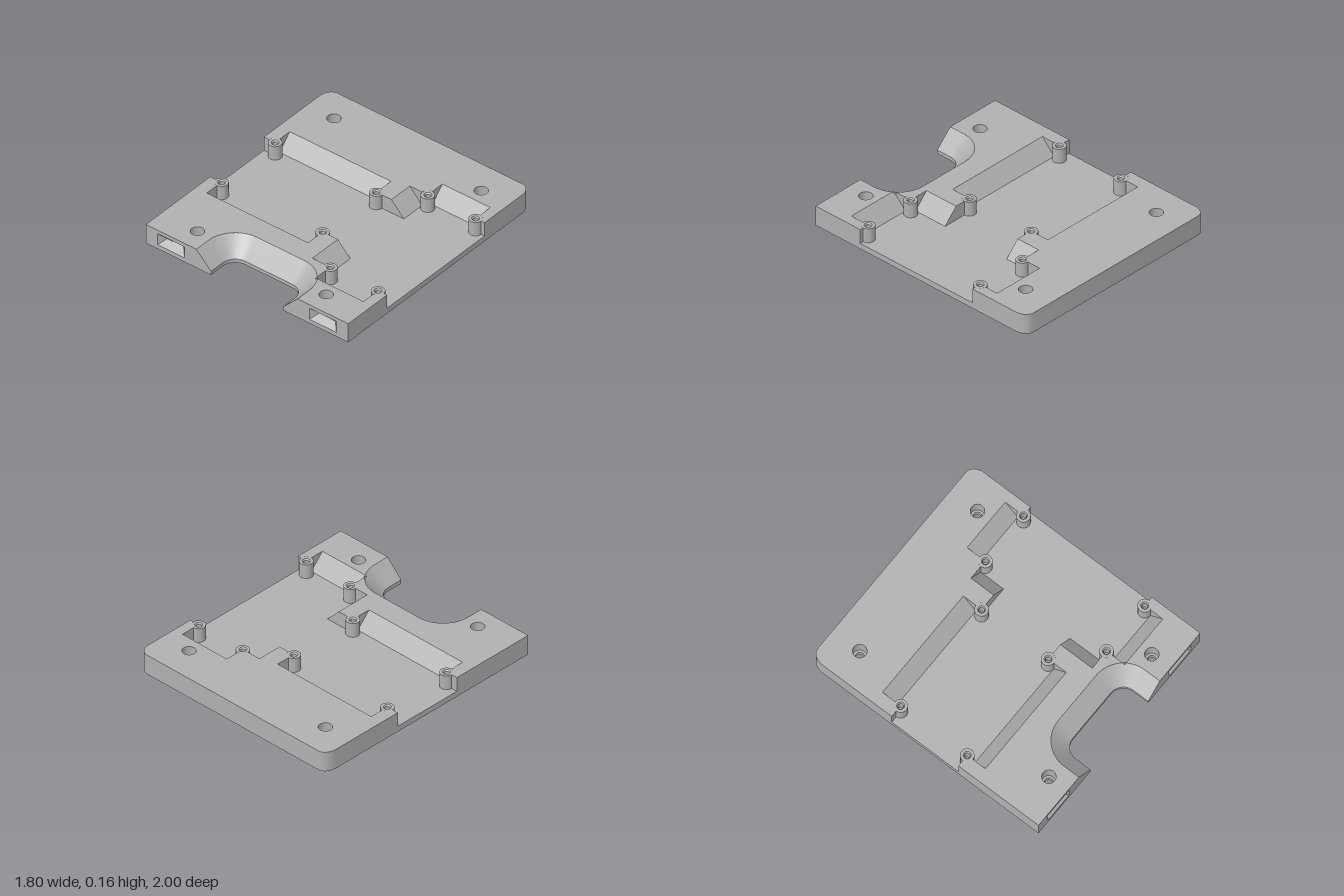
import * as THREE from 'three';
import { toCreasedNormals } from 'three/addons/utils/BufferGeometryUtils.js';

const TOP = 0.16, FLOOR = 0.045, LIP = 0.03, PI = Math.PI;
const STRIP = 0.9;                    // z where the front strip begins
const CX = 0.21, CZ = 0.87;           // centre of the cut-out corner arcs
const R_LOW = 0.11, R_HIGH = 0.24;    // cut-out corner radii, bottom and top
const BOSS = 0.05;
const SCREWS = [[-0.66, -0.76], [0.65, -0.76], [-0.575, 0.835], [0.57, 0.835]];

export function createModel() {
  const model = new THREE.Group();
  model.name = 'mountingPlate';
  const grey = new THREE.MeshStandardMaterial({ color: 0xb0b0b0 });
  grey.name = 'grey';
  const greyOpen = grey;
  greyOpen.side = THREE.DoubleSide;

  const add = (name, geo) => {
    const mesh = new THREE.Mesh(geo, grey);
    mesh.name = name;
    model.add(mesh);
    return mesh;
  };

  // Extrude a plan drawn in (x, z) between two heights
  const slab = (name, shape, y0, y1) => {
    const geo = new THREE.ExtrudeGeometry(shape, { depth: y1 - y0, bevelEnabled: false, curveSegments: 14 });
    geo.rotateX(PI / 2).translate(0, y1, 0);
    return add(name, toCreasedNormals(geo, 0.5));
  };
  const drill = (shape, r, test) => SCREWS.filter(test).forEach(([x, z]) => {
    shape.holes.push(new THREE.Path().absarc(x, z, r, 0, 2 * PI, true));
  });

  // Front edge with the U-shaped cut-out, running from +x to -x
  const frontEdge = (s, r) => {
    s.lineTo(0.9, STRIP);
    s.lineTo(CX + r, STRIP);
    s.lineTo(CX + r, CZ);
    s.absarc(CX, CZ, r, 0, -PI / 2, true);
    s.lineTo(-CX, CZ - r);
    s.absarc(-CX, CZ, r, -PI / 2, -PI, true);
    s.lineTo(-CX - r, STRIP);
    s.lineTo(-0.9, STRIP);
  };
  // Rounded back edge, from (-0.9, -0.9) to (0.9, -0.9)
  const backEdge = (s, dir) => {
    s.lineTo(-0.9 * dir, -0.91);
    s.quadraticCurveTo(-0.89 * dir, -0.99, -0.83 * dir, -1);
    s.lineTo(0.83 * dir, -1);
    s.quadraticCurveTo(0.89 * dir, -0.99, 0.9 * dir, -0.91);
  };

  // Base plate in two layers, the upper one set back under the chamfer
  [['basePlate', R_LOW, 0, LIP], ['channelFloor', R_HIGH, LIP, FLOOR]].forEach(([name, r, y0, y1]) => {
    const s = new THREE.Shape();
    s.moveTo(-0.9, STRIP);
    backEdge(s, 1);
    frontEdge(s, r);
    drill(s, 0.033, () => true);
    slab(name, s, y0, y1);
  });

  // Stepped inner edge of a raised block; dir is the side in z,
  // a and b the z distances of its wide and narrow parts
  const innerEdge = (s, dir, a, b, front) => {
    const mid = dir < 0 ? 1.5 * PI : 0.5 * PI, end = dir < 0 ? 2 * PI : 0;
    const notch = (x0, x1, e, clipped) => {
      s.lineTo(x0 - BOSS, dir * e);
      s.absarc(x0, dir * e, BOSS, PI, mid, dir > 0);
      if (clipped) {
        s.lineTo(x0, dir * (e + 0.14));
        s.lineTo(x0 + 0.017, dir * (e + 0.16));
      } else s.lineTo(x0, dir * (e + 0.16));
      s.lineTo(x1, dir * (e + 0.16));
      s.lineTo(x1, dir * (e + BOSS));
      s.absarc(x1, dir * e, BOSS, mid, end, dir > 0);
    };
    s.moveTo(-0.9, dir * a);
    notch(-0.8, 0.1, a, false);
    s.lineTo(0.235, dir * a);
    s.lineTo(0.235, dir * b);
    notch(0.395, 0.82, b, front);
    s.lineTo(0.9, dir * b);
  };

  // Triangular ramp that falls along x, extruded along z
  const wedge = (run, length) => {
    const s = new THREE.Shape();
    s.moveTo(0, 0);
    s.lineTo(run, 0);
    s.lineTo(0, TOP - FLOOR);
    return new THREE.ExtrudeGeometry(s, { depth: length, bevelEnabled: false });
  };
  // Screw boss with a countersunk blind hole
  const bossProfile = [[0.05, 0], [0.05, TOP - FLOOR], [0.028, TOP - FLOOR], [0.02, 0.105], [0.02, 0.03], [0, 0.03]]
    .map(([x, y]) => new THREE.Vector2(x, y));
  const bossGeo = toCreasedNormals(new THREE.LatheGeometry(bossProfile, 28), 0.5);

  [['back', -1, 0.29, 0.49], ['front', 1, 0.295, 0.575]].forEach(([side, dir, a, b]) => {
    const s = new THREE.Shape();
    innerEdge(s, dir, a, b, dir > 0);
    if (dir > 0) frontEdge(s, R_HIGH);
    else backEdge(s, -1);
    drill(s, 0.05, ([, z]) => z * dir > 0);
    slab(side + 'Block', s, FLOOR, TOP);

    // Ramps between the bosses, facing the channel
    [[-0.8, 0.1, a], [0.395, 0.82, b]].forEach(([x0, x1, e]) => {
      const ramp = add(side + 'Ramp', wedge(0.11, x1 - x0));
      ramp.rotation.y = dir * PI / 2;
      ramp.position.set(dir > 0 ? x0 : x1, FLOOR, dir * (e + 0.16));
      [x0, x1].forEach((x) => add(side + 'Boss', bossGeo).position.set(x, FLOOR, dir * e));
    });
    // Ramp at the step
    add(side + 'StepRamp', wedge(0.11, b - a)).position.set(0.235, FLOOR, dir < 0 ? -b : a);
  });

  // Chamfer around the cut-out
  const rim = (r, y) => {
    const pts = [[CX + r, y, STRIP]];
    [[CX, 0], [-CX, -PI / 2]].forEach(([cx, start]) => {
      for (let i = 0; i <= 14; i++) {
        const t = start - (i / 14) * PI / 2;
        pts.push([cx + r * Math.cos(t), y, CZ + r * Math.sin(t)]);
      }
    });
    pts.push([-CX - r, y, STRIP]);
    return pts;
  };
  const low = rim(R_LOW, LIP), high = rim(R_HIGH, TOP), index = [];
  const n = low.length;
  for (let i = 0; i < n - 1; i++) index.push(i, i + 1, n + i, i + 1, n + i + 1, n + i);
  const chamfer = new THREE.BufferGeometry();
  chamfer.setAttribute('position', new THREE.Float32BufferAttribute([...low, ...high].flat(), 3));
  chamfer.setIndex(index);
  chamfer.computeVertexNormals();
  add('cutoutChamfer', chamfer);

  // Front strips, each with a hipped recess
  const X0 = 0.555, X1 = 0.795, Y0 = 0.035, Y1 = 0.13, D = (Y1 - Y0) / 2;
  [['left', 1], ['right', -1]].forEach(([side, m]) => {
    const outline = [[0.32, 0], [0.9, 0], [0.9, TOP], [0.45, TOP], [0.32, LIP]];
    const s = new THREE.Shape(outline.map(([x, y]) => new THREE.Vector2(m * x, y)));
    s.holes.push(new THREE.Path([[X0, Y0], [X0, Y1], [X1, Y1], [X1, Y0]].map(([x, y]) => new THREE.Vector2(m * x, y))));
    add(side + 'FrontStrip', new THREE.ExtrudeGeometry(s, { depth: 1 - STRIP, bevelEnabled: false }).translate(0, 0, STRIP));

    const p = [[X0, Y0, 1], [X1, Y0, 1], [X1, Y1, 1], [X0, Y1, 1],
      [X0 + D, Y0 + D, 1 - D], [X1 - D, Y0 + D, 1 - D]].map(([x, y, z]) => [m * x, y, z]);
    let faces = [[0, 1, 5], [0, 5, 4], [1, 2, 5], [2, 3, 4], [2, 4, 5], [3, 0, 4]];
    if (m < 0) faces = faces.map(([i, j, k]) => [i, k, j]);
    const hip = new THREE.BufferGeometry();
    hip.setAttribute('position', new THREE.Float32BufferAttribute(faces.flat().flatMap((i) => p[i]), 3));
    hip.computeVertexNormals();
    add(side + 'FrontRecess', hip);
  });

  return model;
}
